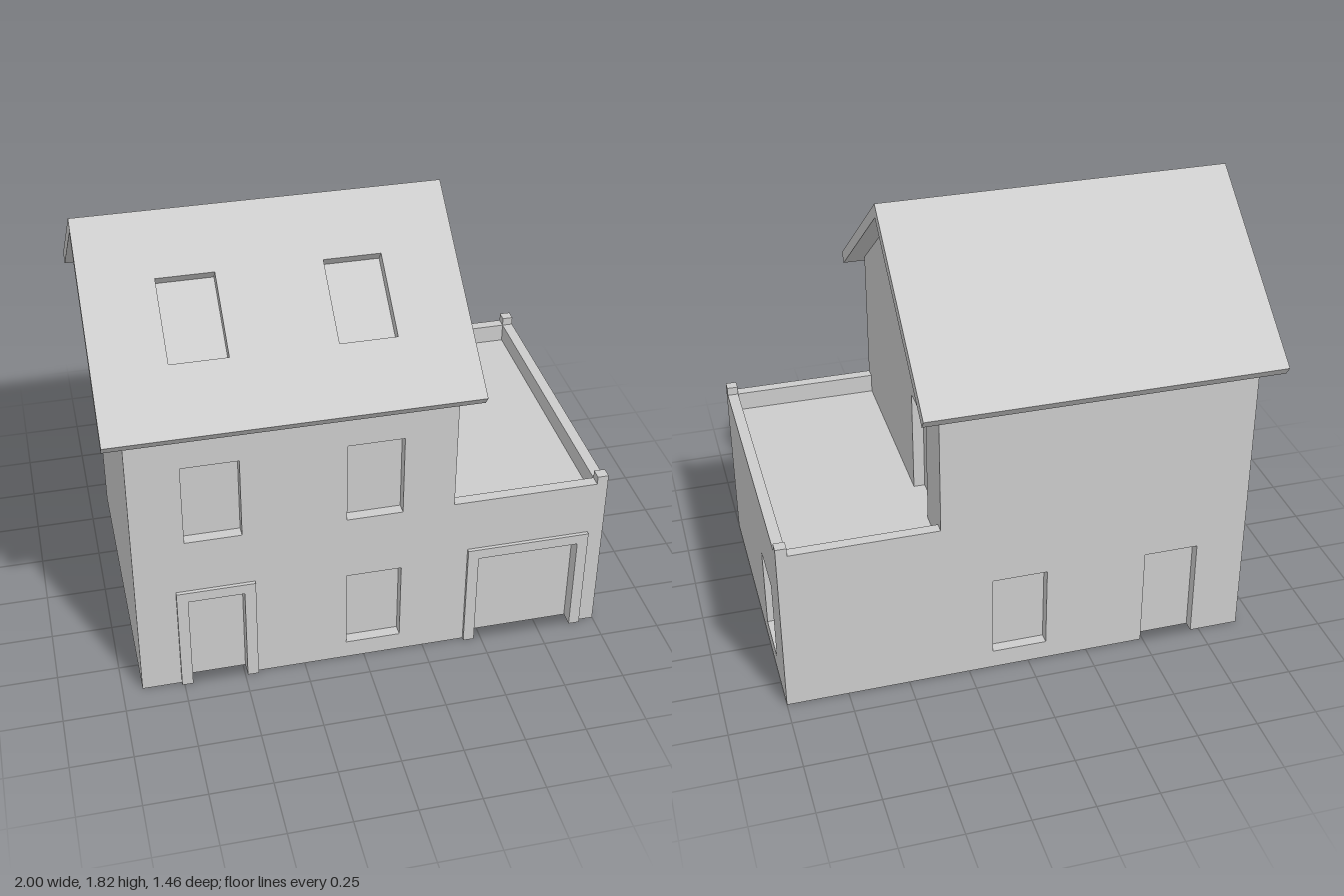
import * as THREE from 'three';

const T = 0.045;                       // wall thickness = depth of every recess
const ROOF_T = 0.047;
const HALF_Z = 0.64;
const LEFT = -0.92, MID = 0.36, RIGHT = 1;
const FLOOR2 = 0.64, PARAPET = 0.72;
const RIDGE = 1.82, EAVE_Z = 0.73, EAVE_Y = 1.275;
const PITCH = Math.atan2(RIDGE - EAVE_Y, EAVE_Z);
const RIDGE_IN = RIDGE - ROOF_T / Math.cos(PITCH);
const underRoof = (z) => RIDGE_IN - Math.abs(z) * Math.tan(PITCH);

const material = new THREE.MeshStandardMaterial({ color: 0xcccccc, flatShading: true });

function addMesh(parent, name, geometry, x = 0, y = 0, z = 0) {
  const mesh = new THREE.Mesh(geometry, material);
  mesh.name = name;
  mesh.position.set(x, y, z);
  parent.add(mesh);
  return mesh;
}

// Box from its minimum and maximum corners
function addBox(parent, name, [x0, y0, z0], [x1, y1, z1]) {
  return addMesh(parent, name, new THREE.BoxGeometry(x1 - x0, y1 - y0, z1 - z0),
    (x0 + x1) / 2, (y0 + y1) / 2, (z0 + z1) / 2);
}

const polygon = (points) => points.map(([x, y]) => new THREE.Vector2(x, y));

// Flat panel with rectangular openings, each [x0, x1, y0, y1]
function panel(outline, openings, depth) {
  const shape = new THREE.Shape(polygon(outline));
  for (const [x0, x1, y0, y1] of openings) {
    shape.holes.push(new THREE.Path(polygon([[x0, y0], [x0, y1], [x1, y1], [x1, y0]])));
  }
  return new THREE.ExtrudeGeometry(shape, { depth, bevelEnabled: false });
}

// Outline of the long walls, with doorways notched out of the bottom edge
function longWallOutline(doors) {
  const points = [[LEFT, 0]];
  for (const [x0, x1, top] of doors) points.push([x0, 0], [x0, top], [x1, top], [x1, 0]);
  const eave = underRoof(HALF_Z);
  points.push([RIGHT, 0], [RIGHT, PARAPET], [MID, PARAPET], [MID, eave], [LEFT, eave]);
  return points;
}

// Gable profile in z and y
function gableOutline(halfZ, y0 = 0) {
  const eave = underRoof(halfZ);
  return [[-halfZ, y0], [halfZ, y0], [halfZ, eave], [0, RIDGE_IN], [-halfZ, eave]];
}

// Panel drawn in z and y, occupying x from outerX - depth to outerX
function addSidePanel(parent, name, outline, openings, depth, outerX) {
  const geometry = panel(outline, openings, depth).rotateY(-Math.PI / 2);
  return addMesh(parent, name, geometry, outerX);
}

// Sloping roof half, mitred at the ridge
function roofGeometry(halfX, openings) {
  const length = Math.hypot(EAVE_Z, RIDGE - EAVE_Y);
  const outline = [[-halfX, -length], [halfX, -length], [halfX, 0], [-halfX, 0]];
  const geometry = panel(outline, openings, ROOF_T).translate(0, 0, -ROOF_T);
  const p = geometry.attributes.position;
  for (let i = 0; i < p.count; i++) {
    if (p.getY(i) > -1e-4) p.setY(i, p.getZ(i) * Math.tan(PITCH));
  }
  geometry.rotateX(PITCH - Math.PI / 2);
  geometry.computeVertexNormals();
  return geometry;
}

export function createModel() {
  const house = new THREE.Group();
  house.name = 'house';

  // Openings
  const DOOR_TOP = 0.435;
  const colA = [-0.715, -0.49], colB = [-0.075, 0.15];
  const low = [0.08, 0.435], high = [0.72, 1.075];
  const side = [-0.43, -0.2];
  const frontDoor = [...colA, DOOR_TOP], garage = [0.47, 0.89, DOOR_TOP];

  // Solid cores, whose faces close the back of each recess
  const inner = HALF_Z - T;
  addSidePanel(house, 'houseCore', gableOutline(inner), [], MID - LEFT - 2 * T, MID - T);
  addBox(house, 'terraceFloor', [MID - T, 0, -inner], [RIGHT - T, FLOOR2, inner]);

  // Front and back walls, including the terrace parapets
  addMesh(house, 'frontWall',
    panel(longWallOutline([frontDoor, garage]),
      [[...colA, ...high], [...colB, ...high], [...colB, ...low]], T), 0, 0, inner);
  addMesh(house, 'backWall',
    panel(longWallOutline([frontDoor]), [[...colB, ...low]], T), 0, 0, -HALF_Z);

  // Gable walls: upper window on one side, terrace door on the other
  addSidePanel(house, 'windowGableWall', gableOutline(HALF_Z), [[...side, ...high]], T, LEFT + T);
  const [g0, g1, ...gRest] = gableOutline(HALF_Z, FLOOR2);
  const doorNotch = [[side[0], FLOOR2], [side[0], high[1]], [side[1], high[1]], [side[1], FLOOR2]];
  addSidePanel(house, 'terraceGableWall', [g0, ...doorNotch, g1, ...gRest], [], T, MID);

  // Outer wall of the annexe with its window
  addSidePanel(house, 'annexeSideWall',
    [[-HALF_Z, 0], [HALF_Z, 0], [HALF_Z, PARAPET], [-HALF_Z, PARAPET]],
    [[...side, ...low]], T, RIGHT);

  // Parapet corner posts
  for (const s of [-1, 1]) {
    const z = s * (HALF_Z - T / 2);
    addBox(house, 'parapetPost', [RIGHT - T, PARAPET, z - T / 2], [RIGHT, 0.755, z + T / 2]);
  }

  // Raised surrounds of the front door and garage
  for (const [name, [x0, x1, top]] of [['doorFrame', frontDoor], ['garageFrame', garage]]) {
    const outline = [[x0 - T, 0], [x0, 0], [x0, top], [x1, top], [x1, 0],
      [x1 + T, 0], [x1 + T, top + T], [x0 - T, top + T]];
    addMesh(house, name, panel(outline, [], 0.015), 0, 0, HALF_Z);
  }

  // Underside
  addMesh(house, 'groundFace',
    new THREE.PlaneGeometry(RIGHT - LEFT, 2 * HALF_Z).rotateX(Math.PI / 2), (LEFT + RIGHT) / 2);

  // Roof halves, with two skylights in the front one
  const roofX = -0.28, halfX = 0.72;
  const along = (z) => -z / Math.cos(PITCH);
  const skylights = [colA, colB].map(([a, b]) => [a - roofX, b - roofX, along(0.5), along(0.225)]);
  addMesh(house, 'frontRoof', roofGeometry(halfX, skylights), roofX, RIDGE);
  addMesh(house, 'backRoof', roofGeometry(halfX, []), roofX, RIDGE).rotation.y = Math.PI;

  return house;
}
